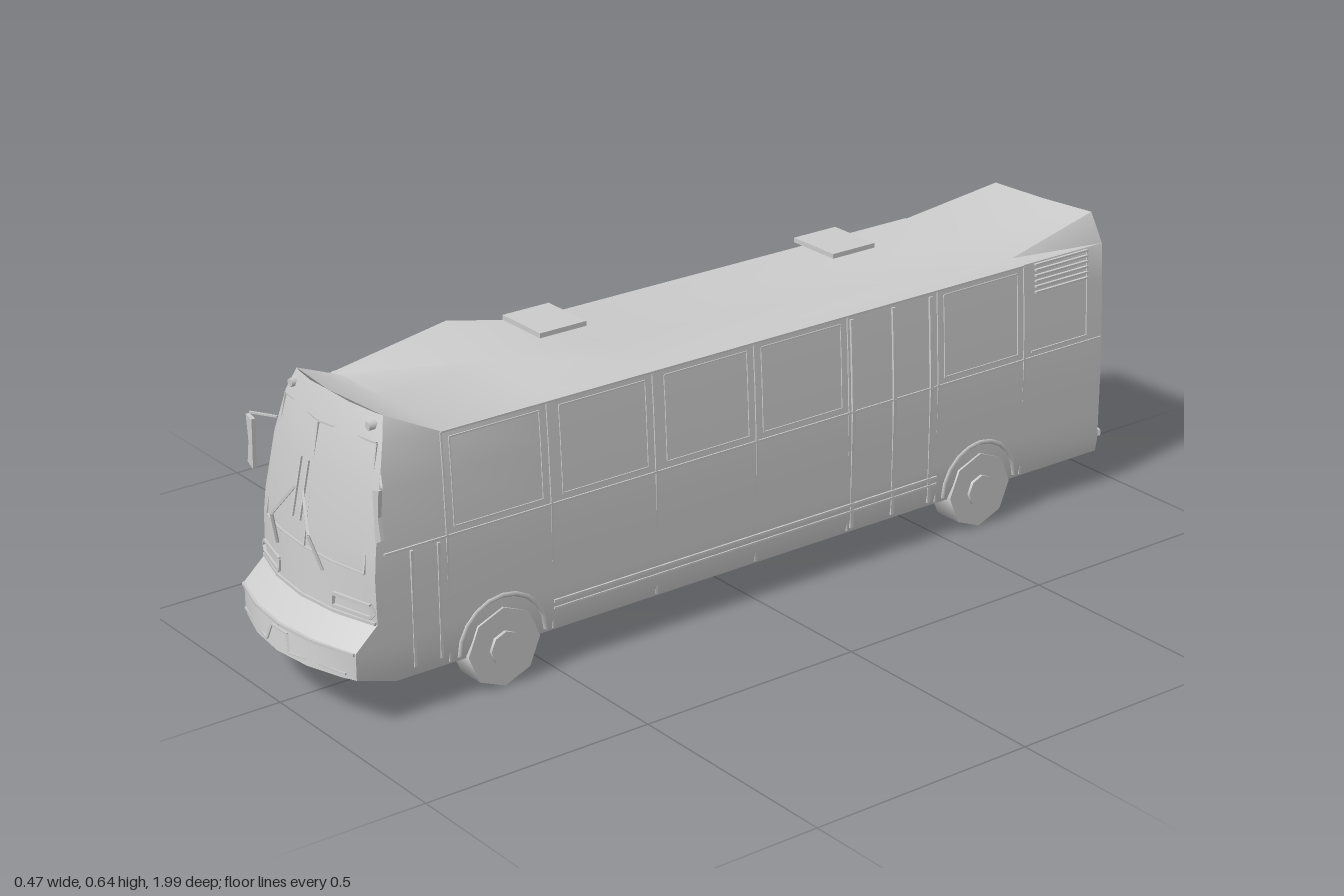
import * as THREE from 'three';
import { toCreasedNormals } from 'three/addons/utils/BufferGeometryUtils.js';

const mat = new THREE.MeshStandardMaterial({ color: 0xcccccc, side: THREE.DoubleSide });

// Side rows from skirt to roof shoulder: height and half width
const rowY = [0.08, 0.11, 0.165, 0.21, 0.3, 0.35, 0.47, 0.555, 0.56];
const sideX = [0.195, 0.2, 0.2, 0.2, 0.2, 0.198, 0.192, 0.186, 0.15];
// Nose: half width, depth at the corner, depth on the centre line
const noseX = [0.195, 0.2, 0.2, 0.2, 0.197, 0.195, 0.184, 0.168, 0.15];
const noseSide = [0.86, 0.95, 0.95, 0.9, 0.9, 0.895, 0.875, 0.855, 0.84];
const noseMid = [0.9, 1.0, 0.99, 0.94, 0.93, 0.925, 0.905, 0.885, 0.865];
const top = rowY.length - 1;

// Triangulate a grid of points given as rows of Vector3
function sheet(grid) {
  const pos = [], idx = [], w = grid[0].length;
  grid.forEach(r => r.forEach(p => pos.push(p.x, p.y, p.z)));
  for (let i = 0; i < grid.length - 1; i++)
    for (let j = 0; j < w - 1; j++) {
      const a = i * w + j, b = a + w;
      idx.push(a, a + 1, b, a + 1, b + 1, b);
    }
  const g = new THREE.BufferGeometry();
  g.setAttribute('position', new THREE.Float32BufferAttribute(pos, 3));
  g.setIndex(idx);
  return toCreasedNormals(g, 0.6);
}

// Depth of the nose surface at a point
function noseZ(x, y) {
  let i = 0;
  while (i < top - 1 && rowY[i + 1] < y) i++;
  const k = THREE.MathUtils.clamp((y - rowY[i]) / (rowY[i + 1] - rowY[i]), 0, 1);
  const mix = a => THREE.MathUtils.lerp(a[i], a[i + 1], k);
  const t = x / mix(noseX);
  return THREE.MathUtils.lerp(mix(noseMid), mix(noseSide), t * t);
}

// Half width of the side wall at a height
function wallX(y) {
  let i = 0;
  while (i < top - 1 && rowY[i + 1] < y) i++;
  return THREE.MathUtils.lerp(sideX[i], sideX[i + 1], (y - rowY[i]) / (rowY[i + 1] - rowY[i]));
}

export function createModel() {
  const model = new THREE.Group();
  const V = (x, y, z) => new THREE.Vector3(x, y, z);

  function add(name, geometry, x = 0, y = 0, z = 0, parent = model) {
    const m = new THREE.Mesh(geometry, mat);
    m.name = name;
    m.position.set(x, y, z);
    parent.add(m);
    return m;
  }
  const box = (name, w, h, d, x, y, z, parent) => add(name, new THREE.BoxGeometry(w, h, d), x, y, z, parent);

  // Thin square bars along a list of points
  function bars(name, pts, t = 0.004) {
    const g = new THREE.Group();
    g.name = name;
    for (let i = 0; i < pts.length - 1; i++) {
      const b = box(name + 'Bar', t, t, pts[i].distanceTo(pts[i + 1]), 0, 0, 0, g);
      b.position.copy(pts[i]).lerp(pts[i + 1], 0.5);
      b.lookAt(pts[i + 1]);
    }
    model.add(g);
    return g;
  }
  const onNose = list => list.map(([x, y]) => V(x, y, noseZ(x, y) + 0.002));
  const onSide = (s, list) => list.map(([z, y]) => V(s * (wallX(y) + 0.001), y, z));

  // Body shell: stations along the length with roof heights on right, centre and left
  const stations = [
    [-0.945, 0.6, 0.605, 0.615], [-0.72, 0.56, 0.56, 0.56], [0.25, 0.56, 0.56, 0.56],
    [0.5, 0.615, 0.58, 0.56], [0.74, 0.56, 0.56, 0.56], [null, 0.6, 0.61, 0.6],
  ];
  add('bodyShell', sheet(stations.map(([z, r, c, l]) => {
    const xs = z === null ? noseX : sideX, ring = [];
    for (let i = 0; i <= top; i++)
      ring.push(V(-xs[i], i === top ? r : rowY[i], z ?? noseSide[i]));
    ring.push(V(0, c, z ?? noseMid[top]));
    for (let i = top; i >= 0; i--)
      ring.push(V(xs[i], i === top ? l : rowY[i], z ?? noseSide[i]));
    ring.push(V(-xs[0], rowY[0], z ?? noseSide[0]));
    return ring;
  })));

  // Nose and tail sheets
  const cols = [-1, -0.85, -0.45, 0, 0.45, 0.85, 1];
  add('nose', sheet(rowY.map((y, i) => cols.map(t =>
    V(t * noseX[i], i === top ? 0.61 - 0.01 * Math.abs(t) : y,
      THREE.MathUtils.lerp(noseMid[i], noseSide[i], t * t))))));
  add('tail', sheet(rowY.map((y, i) => cols.map(t =>
    V(-t * sideX[i], i === top ? 0.605 - 0.008 * t : y,
      i === 6 && Math.abs(t) < 0.9 ? -0.905 : -0.945)))));

  // Nose floor closing the skirt
  add('noseFloor', sheet([cols.map(t => V(t * 0.195, 0.08, 0.86)),
    cols.map(t => V(t * 0.195, 0.08, 0.9 - 0.04 * t * t))]));

  // Windscreen frame and centre post
  bars('windscreenFrame', onNose([[-0.172, 0.307], [-0.09, 0.307], [0, 0.307], [0.09, 0.307], [0.172, 0.307],
    [0.158, 0.553], [0, 0.553], [-0.158, 0.553], [-0.172, 0.307]]));
  bars('windscreenPost', onNose([[0, 0.307], [0, 0.553]]));
  bars('noseSeam', onNose([-0.198, -0.1, 0, 0.1, 0.198].map(x => [x, 0.212])), 0.006);
  bars('bumperSeam', onNose([-0.198, -0.1, 0, 0.1, 0.198].map(x => [x, 0.163])), 0.006);
  bars('plateRecess', onNose([[-0.18, 0.12], [-0.04, 0.12], [-0.028, 0.153], [0.028, 0.153], [0.04, 0.12], [0.18, 0.12]]));

  for (const s of [-1, 1]) {
    // Wipers
    const wiper = [[0.08, 0.29], [0.065, 0.36], [0.014, 0.427]].map(([x, y], i) =>
      V(s * x, y, noseZ(x, y) + [0.015, 0.04, 0.025][i]));
    bars('wiperArm', wiper, 0.005);
    bars('wiperBlade', [V(s * 0.013, 0.37, 0.945), V(s * 0.013, 0.485, 0.92)]);

    // Headlights and marker lamps
    bars('headlightFrame', onNose([[0.095, 0.222], [0.095, 0.246], [0.187, 0.246], [0.197, 0.234],
      [0.187, 0.222], [0.095, 0.222]].map(([x, y]) => [s * x, y])), 0.007);
    const lamp = add('markerLamp', new THREE.CylinderGeometry(0.009, 0.012, 0.02, 6), s * 0.135, 0.58, 0.855);
    lamp.rotation.x = Math.PI / 2;

    // Mirrors on thin arms
    bars('mirrorArm', [V(s * 0.18, 0.497, 0.87), V(s * 0.232, 0.497, 0.9)]);
    const glass = new THREE.Shape([[0.212, 0.49], [0.233, 0.495], [0.228, 0.44], [0.235, 0.395], [0.216, 0.385]]
      .map(([x, y]) => new THREE.Vector2(s * x, y)));
    add('mirror', new THREE.ExtrudeGeometry(glass, { depth: 0.008, bevelEnabled: false }), 0, 0, 0.9);

    // Side belt line, panel seams and window frames
    bars('beltLine', onSide(s, [[-0.94, 0.347], [0.88, 0.347]]));
    bars('roofGutter', onSide(s, [[-0.72, 0.553], [0.74, 0.553]]));
    for (const z of [-0.72, -0.48, -0.24, 0, 0.25, 0.5, 0.74])
      bars('panelSeam', onSide(s, [[z, 0.085], [z, 0.348], [z, 0.47], [z, 0.553]]));
    for (const z of [-0.72, -0.48, -0.24, 0, 0.25, 0.5])
      if (s < 0 || z !== -0.48)
        bars('windowFrame', onSide(s, [[z + 0.018, 0.362], [z + 0.222, 0.362], [z + 0.222, 0.47], [z + 0.222, 0.54],
          [z + 0.018, 0.54], [z + 0.018, 0.47], [z + 0.018, 0.362]]), 0.003);
    bars('skirtRail', onSide(s, [[-0.48, 0.143], [0.5, 0.143]]), 0.006);
    bars('skirtRail', onSide(s, [[-0.48, 0.128], [0.5, 0.128]]), 0.004);

    // Engine vents at the rear corners
    for (let i = 0; i < 6; i++)
      box('sideLouver', 0.012, 0.004, 0.15, s * wallX(0.49 + i * 0.012), 0.49 + i * 0.012, -0.825);
    bars('cornerPanel', onSide(s, [[-0.74, 0.36], [-0.9, 0.36], [-0.9, 0.47], [-0.9, 0.55]]));

    // Wheels, hubs and arches
    for (const z of [0.62, -0.6]) {
      const wheel = new THREE.Group();
      wheel.name = z > 0 ? 'frontWheel' : 'rearWheel';
      wheel.position.set(s * 0.172, 0.083, z);
      model.add(wheel);
      const parts = [['tyre', 0.083, 0.066, 0], ['hub', 0.035, 0.02, s * 0.03]];
      if (z < 0) parts.push(['innerTyre', 0.07, 0.05, -s * 0.06]);
      for (const [n, r, w, x] of parts)
        add(n, toCreasedNormals(new THREE.CylinderGeometry(r, r, w, 8), 0.9), x, 0, 0, wheel).rotation.z = Math.PI / 2;
      const arch = add('wheelArch', new THREE.TorusGeometry(0.1, 0.005, 4, 10, Math.PI), s * 0.2, 0.09, z);
      arch.rotation.y = Math.PI / 2;
    }
    // Tail lamps
    bars('tailLampFrame', [[0.155, 0.2], [0.185, 0.2], [0.185, 0.31], [0.155, 0.31], [0.155, 0.2]]
      .map(([x, y]) => V(s * x, y, -0.947)), 0.006);
  }

  // Passenger doors on the left side
  for (const z of [-0.46, -0.36, -0.25])
    bars('rearDoorEdge', onSide(1, [[z, 0.09], [z, 0.348], [z, 0.47], [z, 0.545]]), 0.008);
  for (const z of [0.76, 0.82])
    bars('frontDoorEdge', onSide(1, [[z, 0.1], [z, 0.34]]), 0.006);

  // Rear grille, engine door, plate recess and bumper
  for (let i = 0; i < 8; i++)
    box('rearLouver', 0.31, 0.004, 0.016, 0, 0.5 + i * 0.012, -0.938).rotation.x = 0.4;
  bars('engineDoor', [[-0.145, 0.17], [0.145, 0.17], [0.145, 0.335], [-0.145, 0.335], [-0.145, 0.17]]
    .map(([x, y]) => V(x, y, -0.947)), 0.005);
  bars('rearPlateRecess', [[-0.045, 0.19], [-0.032, 0.225], [0.032, 0.225], [0.045, 0.19]]
    .map(([x, y]) => V(x, y, -0.947)), 0.005);
  bars('rearBumper', [V(-0.195, 0.12, -0.95), V(-0.1, 0.12, -0.985), V(0.1, 0.12, -0.985), V(0.195, 0.12, -0.95)], 0.014);

  // Roof hatches
  for (const z of [0.37, -0.36])
    box('roofHatch', 0.126, 0.01, 0.11, 0, 0.631, z);

  // Axles and underbody
  for (const z of [0.62, -0.6]) {
    box('axle', 0.26, 0.025, 0.04, 0, 0.063, z);
    box('axleHousing', 0.09, 0.025, 0.06, 0, 0.046, z);
  }
  for (const x of [-0.06, 0.06])
    box('chassisRail', 0.012, 0.008, 1.5, x, 0.077, 0);

  return model;
}
